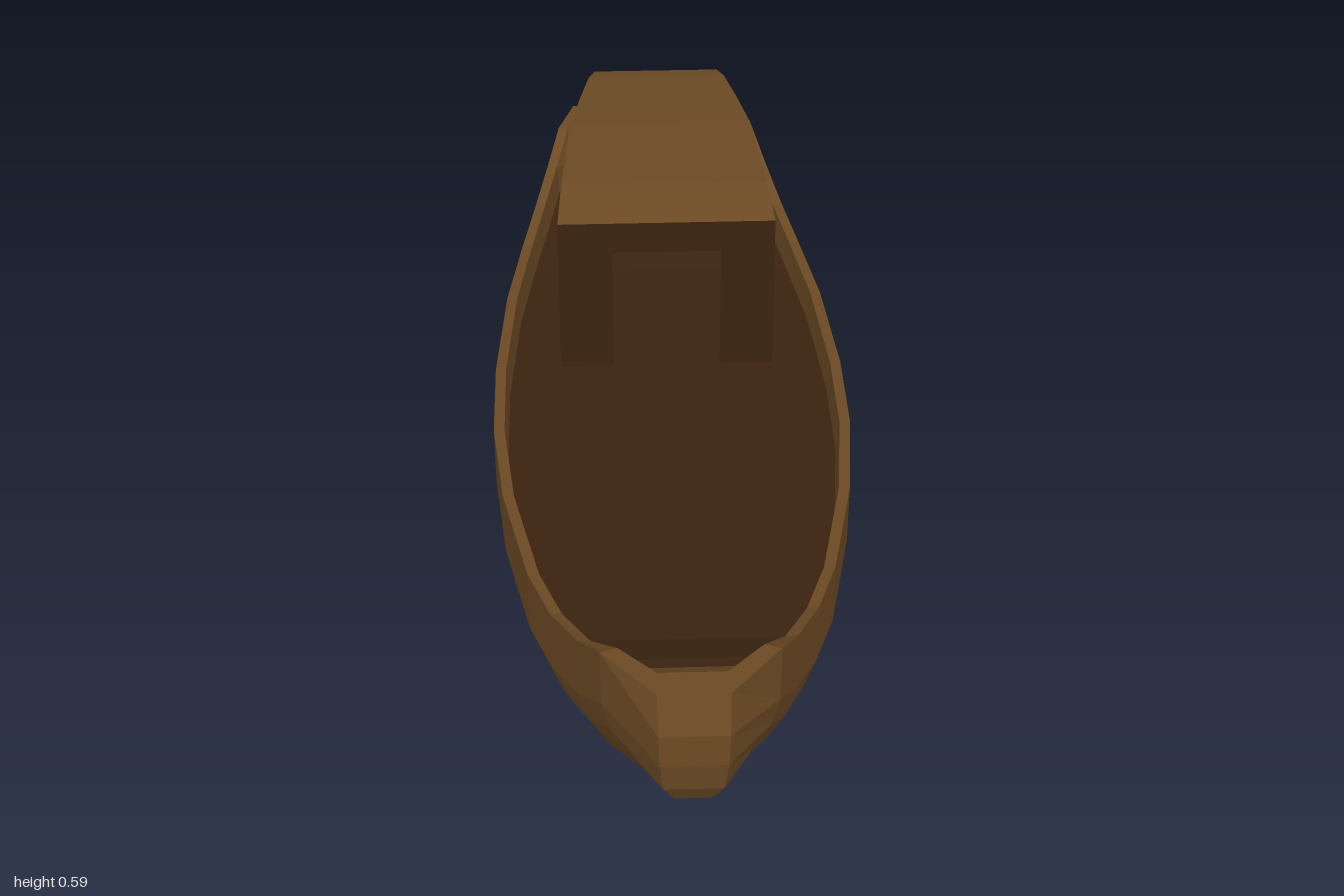
import * as THREE from 'three';

const wood = new THREE.MeshStandardMaterial({ color: 0x6c4a24, flatShading: true, side: THREE.DoubleSide });
wood.name = 'light brown wood';
const darkWood = new THREE.MeshStandardMaterial({ color: 0x3a230f, flatShading: true, side: THREE.DoubleSide });
darkWood.name = 'dark brown wood';

// Faceted surface through rows of equally many points
function loft(rows) {
  const pos = [];
  for (let i = 0; i < rows.length - 1; i++) {
    for (let j = 0; j < rows[i].length - 1; j++) {
      const a = rows[i][j], b = rows[i][j + 1], c = rows[i + 1][j + 1], d = rows[i + 1][j];
      pos.push(...a, ...b, ...c, ...a, ...c, ...d);
    }
  }
  const g = new THREE.BufferGeometry();
  g.setAttribute('position', new THREE.Float32BufferAttribute(pos, 3));
  g.computeVertexNormals();
  return g;
}

const flip = ([x, y, z]) => [-x, y, z];
const pair = (p) => [p, flip(p)]; // left side, then right side

export function createModel() {
  const model = new THREE.Group();
  model.name = 'boat';
  const add = (parent, name, geometry, material) => {
    const mesh = new THREE.Mesh(geometry, material);
    mesh.name = name;
    parent.add(mesh);
  };

  // Hull stations: z, half width, keel height, top height
  const stations = [
    [-1, 0.18, 0.115, 0.39], [-0.9, 0.212, 0.085, 0.39], [-0.8, 0.237, 0.045, 0.35],
    [-0.68, 0.265, 0.015, 0.315], [-0.55, 0.289, 0, 0.303], [-0.35, 0.317, 0, 0.303],
    [-0.1, 0.334, 0, 0.303], [0.1, 0.333, 0, 0.303], [0.3, 0.312, 0, 0.303],
    [0.52, 0.265, 0, 0.303], [0.64, 0.225, 0.02, 0.315], [0.76, 0.178, 0.065, 0.36],
    [0.87, 0.143, 0.165, 0.432],
  ];
  // Half section from keel to top: share of half width, share of height
  const section = [[0.39, 0], [0.71, 0.2], [0.91, 0.4], [1, 0.6], [1, 1]];
  const halves = stations.map(([z, w, b, t]) => section.map(([fx, fy]) => [fx * w, b + fy * (t - b), z]));
  // Rounded stem at the bow
  halves.push([[0.03, 0.205, 0.965], [0.048, 0.25, 0.99], [0.054, 0.31, 1], [0.056, 0.37, 0.998], [0.057, 0.432, 0.97]]);

  const hull = new THREE.Group();
  hull.name = 'hull';
  model.add(hull);
  add(hull, 'hullShell', loft(halves.map((h) => [...h.map(flip).reverse(), ...h])), wood);
  add(hull, 'transom', loft(halves[0].map(pair)), wood);
  add(hull, 'stem', loft(halves[halves.length - 1].map((p) => pair(p).reverse())), wood);

  // Rim and inner bulwark, sloping in at both ends
  const outer = halves.map((h) => h[4]);
  const last = outer.length - 1;
  const inner = outer.map(([x, y, z]) => [x - 0.02, y, z]);
  inner[0] = [0.168, 0.39, -0.95];
  inner[last - 1] = [0.115, 0.432, 0.86];
  inner[last] = [0.055, 0.432, 0.92];
  const edge = inner.map(([x, y, z]) => [x - 0.005, y - 0.062, z]);
  edge[0] = [0.16, 0.328, -0.87];
  edge[1] = [0.185, 0.328, -0.85];
  edge[last - 1] = [0.112, 0.37, 0.82];
  edge[last] = [0.08, 0.37, 0.84];
  add(hull, 'leftBulwark', loft(outer.map((p, i) => [p, inner[i], edge[i]])), wood);
  add(hull, 'rightBulwark', loft(outer.map((p, i) => [edge[i], inner[i], p].map(flip))), wood);
  add(hull, 'sternBulwark', loft([outer[0], inner[0], edge[0]].map(pair)), wood);
  add(hull, 'bowBulwark', loft([edge[last], inner[last], outer[last]].map(pair)), wood);
  add(hull, 'deck', loft(edge.map(pair)), darkWood);

  // Cabin sections: z, half width at roof, half width at foot, roof height
  const cabin = new THREE.Group();
  cabin.name = 'cabin';
  model.add(cabin);
  const foot = 0.235;
  const ribs = [
    [-0.84, 0.13, 0.145, 0.558], [-0.8, 0.143, 0.163, 0.565], [-0.68, 0.163, 0.178, 0.577],
    [-0.55, 0.182, 0.192, 0.589], [-0.31, 0.2, 0.204, 0.589], [-0.195, 0.208, 0.21, 0.568],
  ];
  const roof = ribs.map(([z, w, f, y]) => [w, y, z]);
  const base = ribs.map(([z, w, f]) => [f, foot, z]);
  add(cabin, 'roof', loft(roof.map(pair)), wood);
  add(cabin, 'leftWall', loft(roof.map((p, i) => [base[i], p])), darkWood);
  add(cabin, 'rightWall', loft(roof.map((p, i) => [flip(p), flip(base[i])])), darkWood);
  add(cabin, 'backWall', loft([base[0], roof[0]].map(pair)), darkWood);

  // Front wall with an open doorway
  const front = new THREE.Shape([
    [-0.21, foot], [-0.105, foot], [-0.105, 0.503], [0.105, 0.503],
    [0.105, foot], [0.21, foot], [0.208, 0.568], [-0.208, 0.568],
  ].map(([x, y]) => new THREE.Vector2(x, y)));
  add(cabin, 'frontWall', new THREE.ShapeGeometry(front).translate(0, 0, -0.195), darkWood);

  return model;
}
